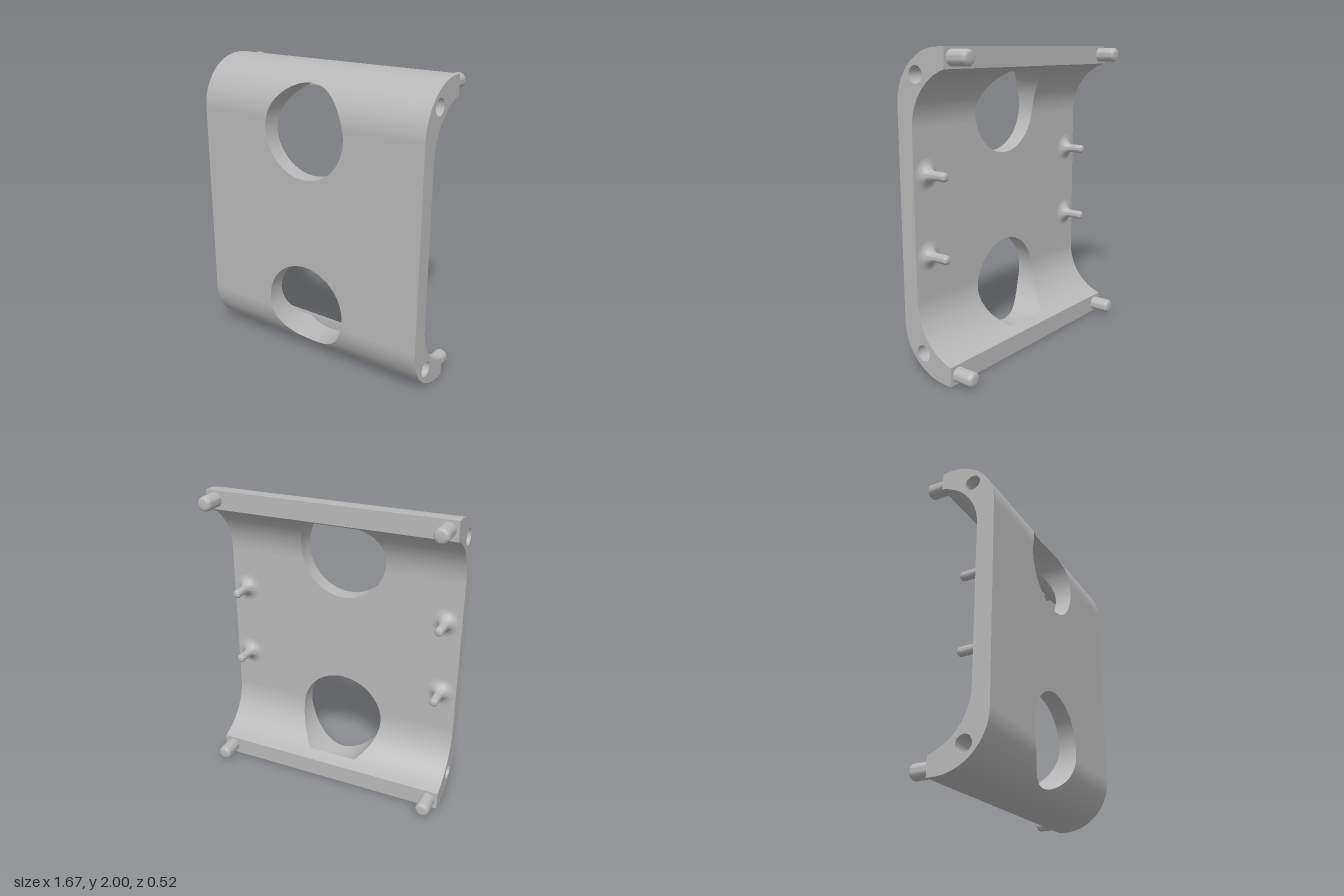
import * as THREE from 'three';
import { toCreasedNormals } from 'three/addons/utils/BufferGeometryUtils.js';

const HALF_W = 0.833, BACK = -0.12;
const OUTER = { z: -0.073, y: 1.667, r: 0.333 };   // outer corner arc
const INNER = { z: -0.215, y: 1.53, r: 0.36 };     // inner corner arc
const INNER_TOP = INNER.y + Math.sqrt(INNER.r ** 2 - (BACK - INNER.z) ** 2);
const HOLE = { x: -0.013, y: 1.602, r: 0.3 };      // round window, mirrored about y = 1
const CUT_Y = 1.845;                               // where the window's flat floor meets the inside

// z of a corner arc profile at height y (symmetric about y = 1)
function depth(arc, y) {
  const dy = Math.max(0, Math.abs(y - 1) + 1 - arc.y);
  return arc.z + Math.sqrt(Math.max(0, arc.r ** 2 - dy * dy));
}
const outerZ = (y) => depth(OUTER, y);
const innerZ = (y) => depth(INNER, y);
const CUT_Z = innerZ(CUT_Y);
const holeOffset = (y) => Math.abs(y - 1) + 1 - HOLE.y;
const holeHalf = (y) => Math.sqrt(Math.max(0, HOLE.r ** 2 - holeOffset(y) ** 2));

// shared heights at which every curved surface is sampled
function sampleRows() {
  const top = [1, INNER_TOP, CUT_Y];
  for (let i = 0; i <= 24; i++) {
    const s = Math.sin((i / 24) * Math.PI / 2);
    top.push(OUTER.y + OUTER.r * s);
    if (INNER.y + INNER.r * s < INNER_TOP) top.push(INNER.y + INNER.r * s);
  }
  for (let i = 0; i <= 40; i++) top.push(HOLE.y - HOLE.r * Math.cos((i / 40) * Math.PI));
  const all = [...top, ...top.map((y) => 2 - y)].sort((a, b) => a - b);
  return all.filter((y, i) => i === 0 || y - all[i - 1] > 1e-5);
}

// collects quads and turns them into a geometry with sharp creases
function quadSheet() {
  const p = [];
  return {
    quad(a, b, c, d, flip = false) {
      if (flip) [b, d] = [d, b];
      p.push(...a, ...b, ...c, ...a, ...c, ...d);
    },
    geometry() {
      const g = new THREE.BufferGeometry();
      g.setAttribute('position', new THREE.Float32BufferAttribute(p, 3));
      return toCreasedNormals(g, 0.5);
    },
  };
}

// side outline with bolt bores; u runs along -z on the +x side, +z on the -x side
function sideGeometry(side, bores) {
  const rows = sampleRows();
  const pts = [[BACK, 0], ...rows.map((y) => [outerZ(y), y]), [BACK, 2]];
  rows.filter((y) => y > 2 - INNER_TOP - 1e-6 && y < INNER_TOP + 1e-6).reverse()
    .forEach((y) => pts.push([innerZ(y), y]));
  const shape = new THREE.Shape(pts.map(([z, y]) => new THREE.Vector2(-side * z, y)));
  for (const b of bores) {
    shape.holes.push(new THREE.Path().absarc(-side * b.z, b.y, b.r, 0, Math.PI * 2, true));
  }
  return new THREE.ShapeGeometry(shape, 16).rotateY(side * Math.PI / 2);
}

// turned part, profile given as [radius, height]
const turned = (pts) => toCreasedNormals(
  new THREE.LatheGeometry(pts.map(([r, h]) => new THREE.Vector2(r, h)), 32), 0.6);

// rod end with a rounded edge
function roundedEnd(r, length, edge) {
  const pts = [];
  for (let i = 0; i <= 6; i++) {
    const a = (i / 6) * Math.PI / 2;
    pts.push([r - edge + edge * Math.cos(a), length - edge + edge * Math.sin(a)]);
  }
  pts.push([0, length]);
  return pts;
}

export function createModel() {
  const model = new THREE.Group();
  const grey = new THREE.MeshStandardMaterial({ color: 0xb8b8b8 });
  grey.name = 'plain grey';
  const add = (name, geometry) => {
    const mesh = new THREE.Mesh(geometry, grey);
    mesh.name = name;
    model.add(mesh);
    return mesh;
  };

  // curved shell faces and window walls, row by row
  const outside = quadSheet(), inside = quadSheet(), walls = quadSheet();
  const rows = sampleRows();
  for (let i = 0; i + 1 < rows.length; i++) {
    const a = rows[i], b = rows[i + 1], mid = (a + b) / 2;
    const inHole = Math.abs(holeOffset(mid)) < HOLE.r;
    const inFlat = inHole && innerZ(mid) < CUT_Z;
    const hasInner = Math.abs(mid - 1) < INNER_TOP - 1;
    for (const s of [-1, 1]) {
      const edge = (y, open) => HOLE.x + s * (open ? holeHalf(y) : 0);
      const strip = (sheet, zAt, open, flip) => sheet.quad(
        [edge(a, open), a, zAt(a)], [s * HALF_W, a, zAt(a)],
        [s * HALF_W, b, zAt(b)], [edge(b, open), b, zAt(b)], flip);
      strip(outside, outerZ, inHole, s < 0);
      if (hasInner) strip(inside, innerZ, inHole && !inFlat, s > 0);
      if (inHole) {
        const floor = (y) => Math.max(innerZ(y), CUT_Z);
        walls.quad([edge(a, true), a, floor(a)], [edge(a, true), a, outerZ(a)],
          [edge(b, true), b, outerZ(b)], [edge(b, true), b, floor(b)], s < 0);
      }
    }
  }
  // flat lips on the top and bottom, running to the back
  for (const [y, flip] of [[2, false], [0, true]]) {
    outside.quad([-HALF_W, y, OUTER.z], [HALF_W, y, OUTER.z],
      [HALF_W, y, BACK], [-HALF_W, y, BACK], flip);
  }
  add('outerShell', outside.geometry());
  add('innerShell', inside.geometry());
  add('windowWalls', walls.geometry());

  // back rims and the flat floors at the far edge of each window
  const rim = quadSheet();
  for (const [y0, y1] of [[INNER_TOP, 2], [0, 2 - INNER_TOP]]) {
    rim.quad([HALF_W, y0, BACK], [-HALF_W, y0, BACK], [-HALF_W, y1, BACK], [HALF_W, y1, BACK]);
  }
  add('backRims', rim.geometry());
  const cutAngle = Math.asin((CUT_Y - HOLE.y) / HOLE.r);
  for (const top of [true, false]) {
    const segment = new THREE.Shape().absarc(0, 0, HOLE.r, cutAngle, Math.PI - cutAngle, false);
    const floor = add('windowFloor', new THREE.ShapeGeometry(segment, 24));
    floor.position.set(HOLE.x, top ? HOLE.y : 2 - HOLE.y, CUT_Z);
    if (!top) floor.rotation.z = Math.PI;
  }

  // sides with blind bolt bores
  const bores = [1.845, 0.155].map((y) => ({ z: 0.105, y, r: 0.052 }));
  const boreGeometry = turned([[0.052, 0], [0.052, -0.2], [0, -0.2]]);
  for (const side of [-1, 1]) {
    const face = add(side > 0 ? 'leftSide' : 'rightSide', sideGeometry(side, bores));
    face.position.x = side * HALF_W;
    for (const b of bores) {
      const bore = add('boltBore', boreGeometry);
      bore.position.set(side * HALF_W, b.y, b.z);
      bore.rotation.z = -side * Math.PI / 2;
    }
  }

  // corner pegs on the rims and flared pins on the inside wall
  const pegGeometry = turned([[0.048, 0], ...roundedEnd(0.048, 0.138, 0.024)]);
  const flare = [];
  for (let i = 0; i <= 10; i++) {
    const a = (i / 10) * Math.PI / 2;
    flare.push([0.098 - 0.069 * Math.sin(a), 0.069 - 0.069 * Math.cos(a)]);
  }
  const pinGeometry = turned([...flare, ...roundedEnd(0.029, 0.167, 0.022)]);
  for (const x of [-1, 1]) {
    for (const y of [-1, 1]) {
      const peg = add('cornerPeg', pegGeometry);
      peg.position.set(x * 0.767, 1 + y * 0.94, BACK);
      peg.rotation.x = -Math.PI / 2;
      const pin = add('flaredPin', pinGeometry);
      pin.position.set(x * 0.727, 1 + y * 0.252, innerZ(1));
      pin.rotation.x = -Math.PI / 2;
    }
  }
  return model;
}
